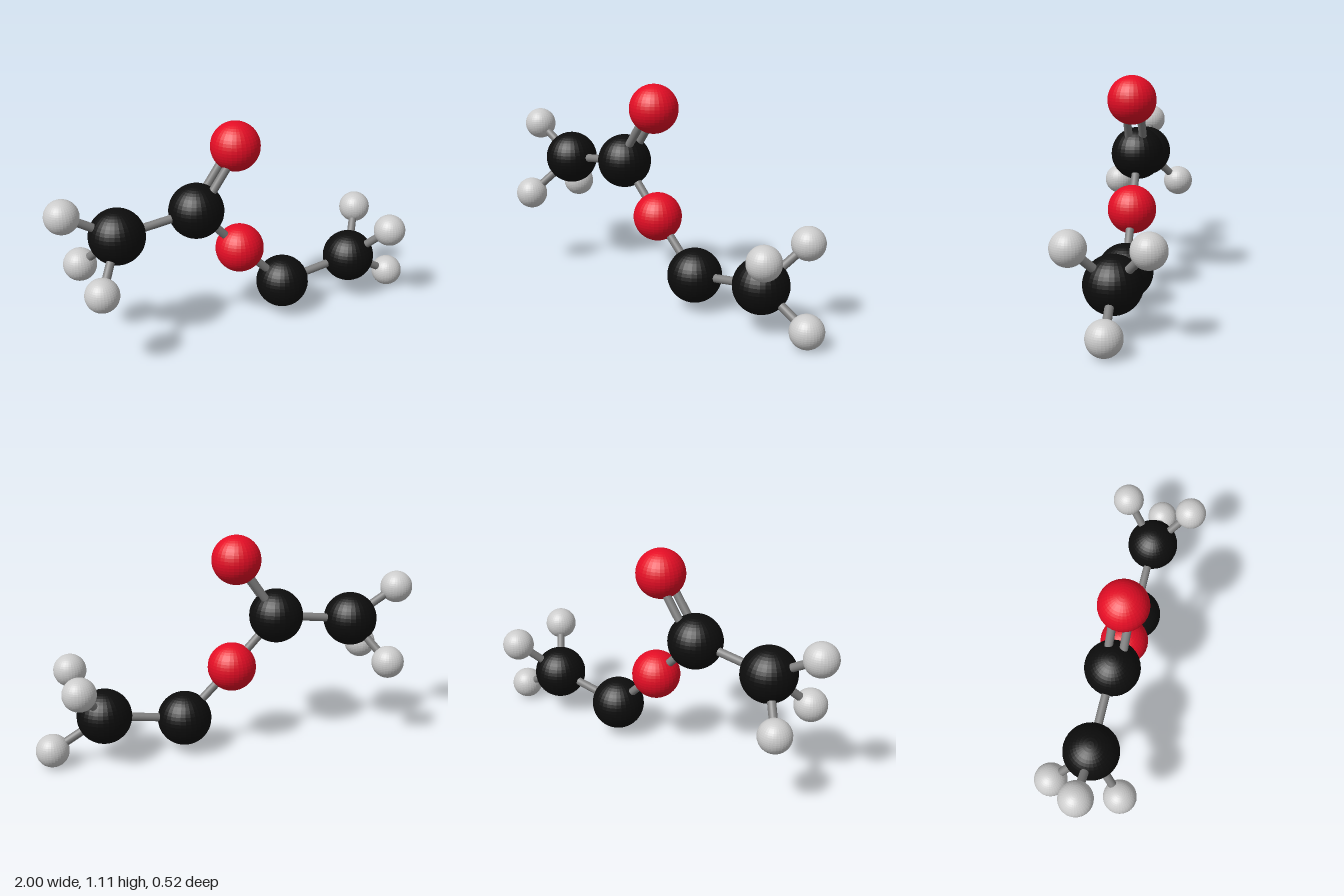
import * as THREE from 'three';

const mat = (color) => new THREE.MeshStandardMaterial({ color, flatShading: true });

export function createModel() {
  const model = new THREE.Group();
  const kinds = {
    carbon: { radius: 0.138, material: mat(0x0d0d0d) },
    oxygen: { radius: 0.124, material: mat(0xe50d25) },
    hydrogen: { radius: 0.083, material: mat(0xcccccc) },
  };
  const bondMaterial = new THREE.MeshStandardMaterial({ color: 0x808080 });
  for (const kind of Object.values(kinds)) {
    kind.geometry = new THREE.SphereGeometry(kind.radius, 32, 24);
  }

  // Ball at a position; returns its centre so bonds can join it
  function atom(kind, name, x, y, z = 0) {
    const ball = new THREE.Mesh(kinds[kind].geometry, kinds[kind].material);
    ball.name = name;
    ball.position.set(x, y, z);
    model.add(ball);
    return ball.position;
  }

  // Rod between two centres, optionally shifted sideways in z
  function bond(name, a, b, shift = 0) {
    const dir = b.clone().sub(a);
    const rod = new THREE.Mesh(
      new THREE.CylinderGeometry(0.021, 0.021, dir.length(), 20), bondMaterial);
    rod.name = name;
    rod.position.copy(a).add(b).multiplyScalar(0.5);
    rod.position.z += shift;
    rod.quaternion.setFromUnitVectors(new THREE.Vector3(0, 1, 0), dir.normalize());
    model.add(rod);
  }

  // Zigzag backbone
  const chain = [
    atom('carbon', 'rightEndCarbon', -0.66, 0.632),
    atom('carbon', 'rightInnerCarbon', -0.248, 0.684),
    atom('oxygen', 'middleOxygen', -0.012, 0.431),
    atom('carbon', 'leftInnerCarbon', 0.241, 0.177),
    atom('carbon', 'leftEndCarbon', 0.652, 0.237),
  ];
  for (let i = 1; i < chain.length; i++) bond('chainBond', chain[i - 1], chain[i]);

  // Upper oxygen on a double bond
  const top = atom('oxygen', 'topOxygen', -0.036, 0.988, 0.003);
  for (const side of [-1, 1]) bond('doubleBond', chain[1], top, side * 0.037);

  // Three hydrogens on each end carbon
  const ends = [
    { carbon: chain[0], tip: [-0.917, 0.785], pair: [-0.803, 0.435] },
    { carbon: chain[4], tip: [0.917, 0.084], pair: [0.791, 0.435] },
  ];
  for (const { carbon, tip, pair } of ends) {
    bond('hydrogenBond', carbon, atom('hydrogen', 'tipHydrogen', ...tip));
    for (const z of [-0.175, 0.175]) {
      bond('hydrogenBond', carbon, atom('hydrogen', 'sideHydrogen', ...pair, z));
    }
  }
  return model;
}
